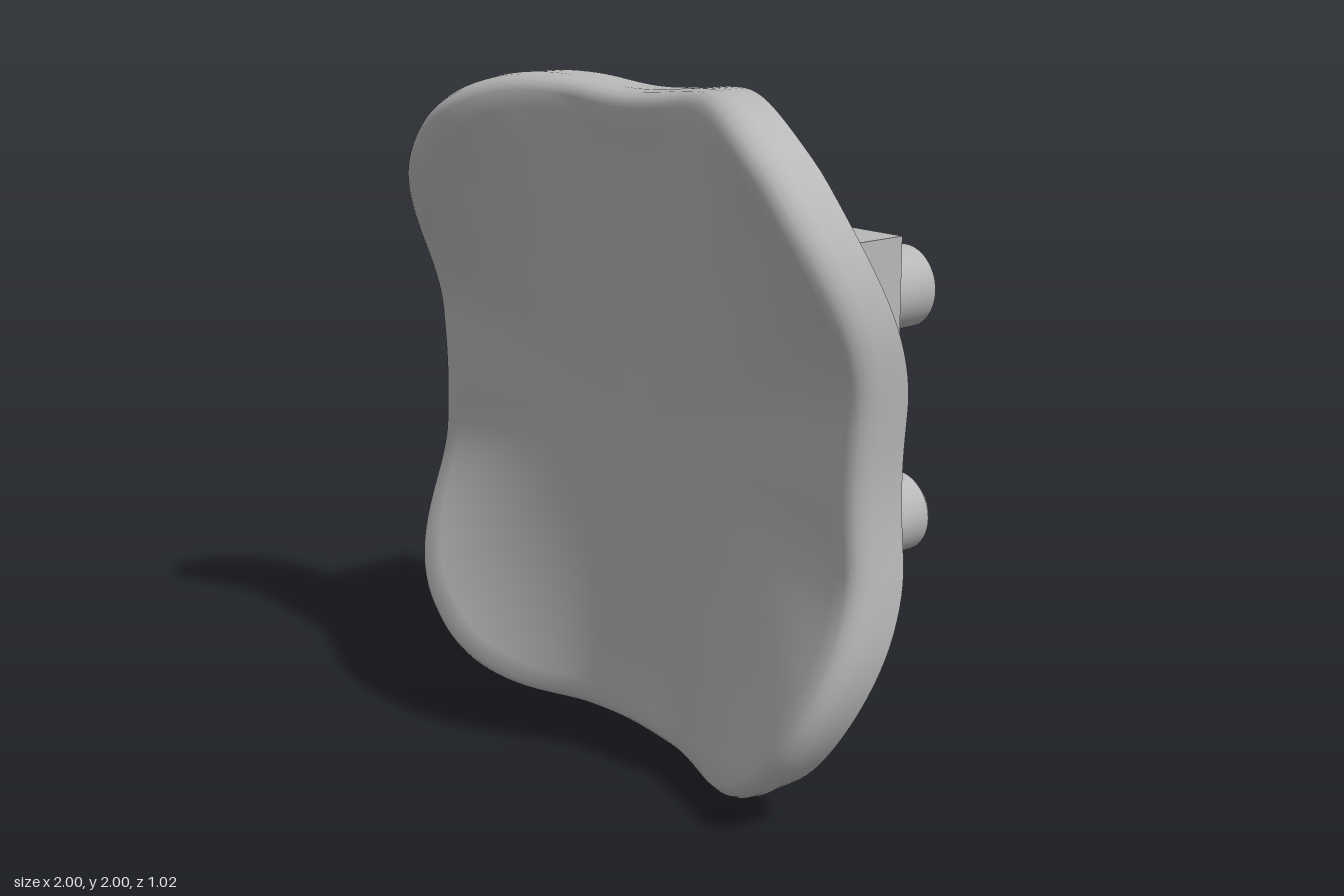
import * as THREE from 'three';
import { toCreasedNormals } from 'three/addons/utils/BufferGeometryUtils.js';

const CENTER_Z = 0.29; // front face depth at the middle of the dish
const CORNER = 0.4;    // centre offset of the rounded corners

// Rounded square with slightly waisted sides, counterclockwise
function outline() {
  const side = [];
  for (let i = 0; i < 24; i++) {
    const y = -CORNER + (2 * CORNER * i) / 24;
    side.push([1 - 0.0125 * (1 + Math.cos((Math.PI * y) / CORNER)), y]);
  }
  for (let i = 0; i < 28; i++) {
    const a = (i / 28) * Math.PI / 2;
    side.push([CORNER + 0.6 * Math.cos(a), CORNER + 0.6 * Math.sin(a)]);
  }
  const points = [];
  for (let k = 0; k < 4; k++) {
    for (const [x, y] of side) {
      points.push([[x, y], [-y, x], [-x, -y], [y, -x]][k]);
    }
  }
  return points;
}

// Dished front surface: the rim sweeps forward at the four corners
function frontZ(x, y, t) {
  const lift = THREE.MathUtils.smoothstep(Math.min(Math.abs(x), Math.abs(y)), 0.2, 0.8);
  const rimZ = 0.345 + 0.165 * lift;
  return CENTER_Z + (rimZ - CENTER_Z) * Math.min(1, t / 0.95) ** 2.9;
}

function padGeometry() {
  // Cross-section from front centre, round the rim, to back centre: [scale, depth offset]
  const rings = [];
  for (let i = 0; i <= 18; i++) rings.push([0.02 + (0.93 * i) / 18, 0]);
  rings.push([0.968, -0.004], [0.983, -0.016], [0.994, -0.037], [1, -0.07]);
  rings.push([1, -0.172], [0.988, -0.174], [0.98, -0.15], [0.965, -0.142], [0.93, -0.147], [0.88, -0.16]);
  for (let i = 0; i <= 16; i++) rings.push([0.82 - (0.8 * i) / 16, -0.17]);

  const edge = outline();
  const n = edge.length;
  const positions = [];
  const index = [];
  for (const [t, dz] of rings) {
    for (const [x, y] of edge) positions.push(x * t, y * t, frontZ(x, y, t) + dz);
  }
  for (let i = 0; i < rings.length - 1; i++) {
    for (let j = 0; j < n; j++) {
      const k = (j + 1) % n;
      const a = i * n + j, b = a + n, c = (i + 1) * n + k, d = i * n + k;
      index.push(a, b, c, a, c, d);
    }
  }
  // Close the two centres
  const front = positions.length / 3;
  positions.push(0, 0, CENTER_Z, 0, 0, CENTER_Z - 0.17);
  const last = (rings.length - 1) * n;
  for (let j = 0; j < n; j++) {
    const k = (j + 1) % n;
    index.push(front, j, k, front + 1, last + k, last + j);
  }
  const geometry = new THREE.BufferGeometry();
  geometry.setAttribute('position', new THREE.Float32BufferAttribute(positions, 3));
  geometry.setIndex(index);
  return toCreasedNormals(geometry, 0.9);
}

export function createModel() {
  const grey = new THREE.MeshStandardMaterial({ color: 0xb8b8b8 });
  grey.name = 'grey';
  const model = new THREE.Group();
  model.name = 'plugInPad';

  const add = (name, geometry, x, y, z) => {
    const mesh = new THREE.Mesh(geometry, grey);
    mesh.name = name;
    mesh.position.set(x, y, z);
    model.add(mesh);
  };

  add('dishedPad', padGeometry(), 0, 1, 0);

  // Mounting block, its front end sunk into the pad
  add('mountingBlock', new THREE.BoxGeometry(1.13, 1.13, 0.47), 0, 1, -0.005);

  // Four chamfered pegs on the back
  const profile = [[0, -0.02], [0.128, -0.02], [0.128, 0.237], [0.095, 0.274], [0, 0.274]]
    .map(([r, h]) => new THREE.Vector2(r, h));
  const peg = toCreasedNormals(new THREE.LatheGeometry(profile, 48).rotateX(-Math.PI / 2), 0.4);
  for (const x of [-1, 1]) {
    for (const y of [-1, 1]) {
      add(`${y > 0 ? 'upper' : 'lower'}${x > 0 ? 'Left' : 'Right'}Peg`, peg, 0.357 * x, 1 + 0.36 * y, -0.24);
    }
  }
  return model;
}
